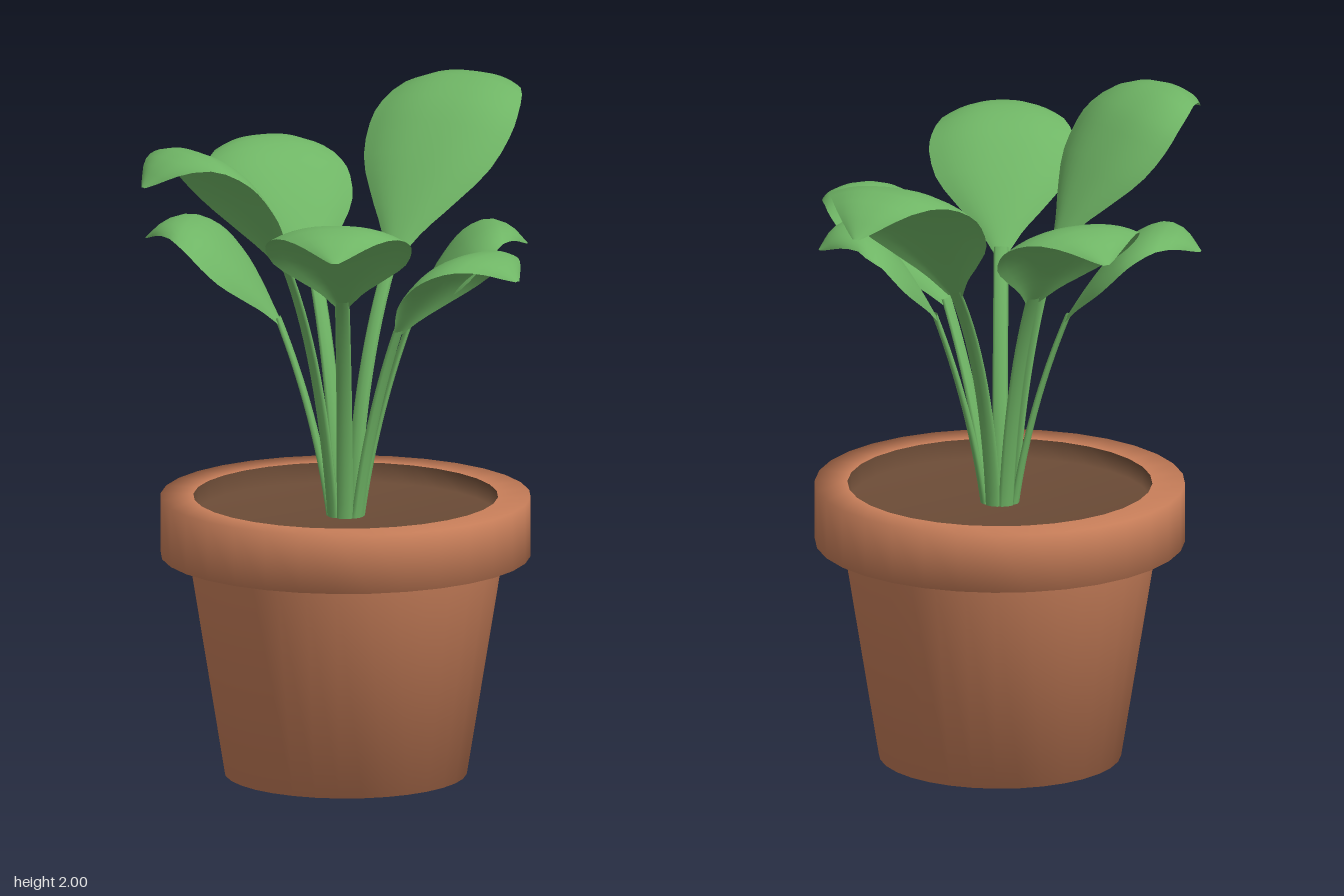
import * as THREE from 'three';
import { mergeVertices } from 'three/addons/utils/BufferGeometryUtils.js';

const clay = new THREE.MeshStandardMaterial({ color: 0xc97f5a });
clay.name = 'terracotta';
const earth = new THREE.MeshStandardMaterial({ color: 0x6b4b36 });
earth.name = 'soil brown';
const green = new THREE.MeshStandardMaterial({ color: 0x6fb565, side: THREE.DoubleSide });
green.name = 'leaf green';

// Smooth surface from a grid of points: point(u, v) with u, v in 0..1
function surface(rows, cols, point) {
  const positions = [], index = [];
  for (let i = 0; i <= rows; i++) {
    for (let j = 0; j <= cols; j++) positions.push(...point(i / rows, j / cols));
  }
  for (let i = 0; i < rows; i++) {
    for (let j = 0; j < cols; j++) {
      const a = i * (cols + 1) + j, b = a + 1, c = a + cols + 1, d = c + 1;
      index.push(a, c, b, b, c, d);
    }
  }
  let geometry = new THREE.BufferGeometry();
  geometry.setAttribute('position', new THREE.Float32BufferAttribute(positions, 3));
  geometry.setIndex(index);
  geometry = mergeVertices(geometry, 1e-5);
  geometry.computeVertexNormals();
  return geometry;
}

function mesh(name, geometry, material) {
  const m = new THREE.Mesh(geometry, material);
  m.name = name;
  return m;
}

function lathe(name, profile, material) {
  return mesh(name, new THREE.LatheGeometry(profile.map(p => new THREE.Vector2(...p)), 32), material);
}

// Half width of a blade along its length, as a share of the widest point
const outline = new THREE.SplineCurve([
  [0, 0.1], [0.1, 0.3], [0.2, 0.56], [0.34, 0.88], [0.48, 1],
  [0.6, 0.97], [0.74, 0.8], [0.88, 0.47], [0.96, 0.2], [1, 0.04],
].map(p => new THREE.Vector2(...p)));

// One stem with its arching blade, growing towards +z before being turned
function leaf(name, degrees, baseR, tipR, baseY, peakY, halfWidth) {
  const group = new THREE.Group();
  group.name = name;
  group.rotation.y = THREE.MathUtils.degToRad(degrees);

  // Flat oval stem
  const stemPath = new THREE.QuadraticBezierCurve3(
    new THREE.Vector3(0, 0.78, 0.045),
    new THREE.Vector3(0, baseY - 0.28, 0.09),
    new THREE.Vector3(0, baseY + 0.015, baseR + 0.01));
  const stem = surface(14, 8, (u, v) => {
    const p = stemPath.getPoint(u), t = stemPath.getTangent(u), a = v * Math.PI * 2;
    const x = Math.cos(a) * (0.025 - 0.003 * u), n = -Math.sin(a) * (0.012 - 0.004 * u);
    return [x, p.y + n * t.z, p.z - n * t.y];
  });
  group.add(mesh('stem', stem, green));

  // Blade rising, arching over and dropping at the tip, edges bent down
  const rise = peakY - baseY, reach = tipR - baseR;
  const spine = new THREE.CatmullRomCurve3(
    [[0, 0], [0.15, 0.33], [0.31, 0.63], [0.5, 0.89], [0.7, 1], [0.86, 0.95], [1, 0.78]].map(
      ([r, y]) => new THREE.Vector3(0, baseY + y * rise, baseR + r * reach)));
  const blade = surface(20, 12, (u, v) => {
    const { x: along, y: width } = outline.getPoint(u);
    const at = THREE.MathUtils.clamp(along, 0, 1);
    const p = spine.getPointAt(at), t = spine.getTangentAt(at);
    const s = v * 2 - 1, n = -0.05 * width * Math.abs(s) ** 2.5;
    return [s * width * halfWidth, p.y + n * t.z, p.z - n * t.y];
  });
  group.add(mesh('blade', blade, green));
  return group;
}

export function createModel() {
  const model = new THREE.Group();
  model.name = 'pottedPlant';
  const plant = new THREE.Group();
  plant.name = 'plant';
  plant.position.set(0.025, 0, 0.03);
  model.add(plant);

  // Pot: tapered body and overhanging rim
  plant.add(lathe('potBody', [[0, 0], [0.366, 0], [0.476, 0.68]], clay));
  plant.add(lathe('potRim', [[0.46, 0.675], [0.559, 0.675], [0.559, 0.855], [0.46, 0.855]], clay));
  // Soil with its dark collar inside the rim
  plant.add(lathe('soil', [[0.46, 0.855], [0.458, 0.795], [0, 0.795]], earth));

  // Leaves: name, heading, base reach, tip reach, base height, peak height, half width
  [
    ['frontLeaf', 1, 0.26, 0.87, 1.5, 1.84, 0.22],
    ['frontLeftLeaf', 52, 0.2, 0.69, 1.38, 1.685, 0.2],
    ['leftLeaf', 102, 0.19, 0.555, 1.38, 1.685, 0.21],
    ['backLeftLeaf', 156.5, 0.31, 1.02, 1.53, 2.0, 0.235],
    ['backRightLeaf', -154.5, 0.24, 0.8, 1.49, 1.835, 0.22],
    ['rightLeaf', -100, 0.2, 0.62, 1.38, 1.69, 0.21],
    ['frontRightLeaf', -51, 0.21, 0.755, 1.57, 2.0, 0.22],
  ].forEach(spec => plant.add(leaf(...spec)));
  return model;
}
